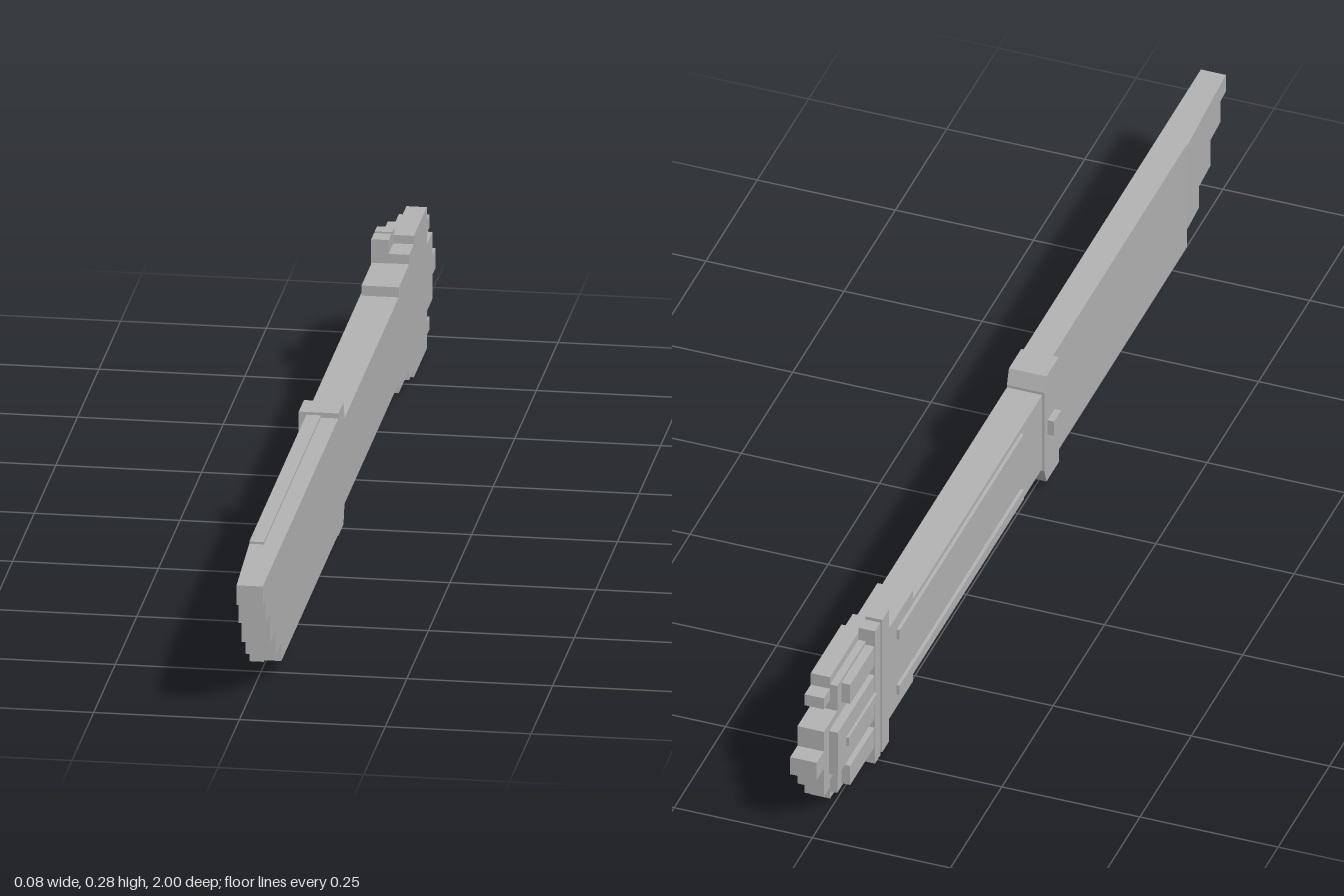
import * as THREE from 'three';

const BACK = 0.04;   // flat rear plane, shared by every main section
const MID = 0.14;    // height of the long axis

export function createModel() {
  const model = new THREE.Group();
  model.name = 'knife';
  const grey = new THREE.MeshStandardMaterial({ color: 0xb4b4b4, flatShading: true });
  grey.name = 'plain grey';

  const add = (name, geometry) => {
    const mesh = new THREE.Mesh(geometry, grey);
    mesh.name = name;
    model.add(mesh);
    return mesh;
  };

  // Box given by its bounds
  const block = (name, x0, x1, y0, y1, z0, z1) => {
    const g = new THREE.BoxGeometry(x1 - x0, y1 - y0, z1 - z0);
    g.translate((x0 + x1) / 2, (y0 + y1) / 2, (z0 + z1) / 2);
    return add(name, g);
  };

  // Outline of [z, y] points extruded across x
  const slab = (points, x0, x1) => {
    const shape = new THREE.Shape(points.map(([z, y]) => new THREE.Vector2(-z, y)));
    const g = new THREE.ExtrudeGeometry(shape, { depth: x1 - x0, bevelEnabled: false });
    g.rotateY(Math.PI / 2);
    g.translate(x0, 0, 0);
    return g;
  };

  // Blade: full-height slab with a slightly raised front layer
  block('bladeBack', 0.01, BACK, 0.033, 0.241, 0.12, 0.785);
  block('bladeFront', -0.015, 0.01, 0.03, 0.245, 0.12, 0.785);

  // Stepped tip, thinning towards the point
  const tip = slab([
    [0.785, 0.241], [0.785, 0.033], [0.785, 0.066], [0.85, 0.066], [0.85, 0.11],
    [0.915, 0.11], [0.915, 0.163], [0.97, 0.163], [0.97, 0.206], [1, 0.206], [1, 0.241],
  ].filter((p, i) => i !== 1), -0.015, BACK);
  const pos = tip.attributes.position;
  for (let i = 0; i < pos.count; i++) {
    if (pos.getX(i) < 0) pos.setX(i, -0.015 + 0.01 * (pos.getZ(i) - 0.785) / 0.215);
  }
  tip.computeVertexNormals();
  add('bladeTip', tip);

  // Guard with chamfered handle side, and its button
  add('guard', slab([
    [0.125, 0.03], [0.125, 0.25], [0.065, 0.25], [0.055, 0.222], [0.055, 0.058], [0.065, 0.03],
  ], -0.028, BACK));
  block('guardButton', -0.04, -0.028, 0.125, 0.155, 0.07, 0.105);

  // Handle, its wider end and two long ribs
  block('handle', -0.024, BACK, 0.063, 0.217, -0.575, 0.055);
  block('handleEnd', -0.024, BACK, 0.045, 0.235, -0.695, -0.575);
  for (const s of [-1, 1]) {
    const y = MID + s * 0.058;
    block('handleRib', -0.03, -0.024, y - 0.01, y + 0.01, -0.655, -0.05);
  }

  // Double collar
  block('collarCore', -0.02, BACK, 0.027, 0.252, -0.75, -0.695);
  block('collarFrontBand', -0.025, 0.005, 0, 0.277, -0.727, -0.694);
  block('collarRearBand', -0.025, 0.005, 0, 0.277, -0.762, -0.735);

  // Pommel base: stepped outline, mirrored about the long axis
  const half = [[-0.75, 0.127], [-0.9, 0.127], [-0.9, 0.103], [-0.93, 0.103],
    [-0.93, 0.08], [-0.9, 0.08], [-0.9, 0.06], [-0.965, 0.06]];
  const outline = [
    ...half.map(([z, d]) => [z, MID + d]),
    ...half.slice().reverse().map(([z, d]) => [z, MID - d]),
  ];
  add('pommel', slab(outline, 0.005, BACK));
  block('pommelTip', -0.008, BACK, 0.123, 0.159, -1, -0.965);

  // Raised lobes on the pommel
  block('pommelCentre', -0.008, 0.005, MID - 0.06, MID + 0.06, -0.965, -0.75);
  block('centrePanel', -0.024, -0.008, MID - 0.045, MID + 0.045, -0.94, -0.755);
  block('centreRib', -0.029, -0.024, MID - 0.009, MID + 0.009, -0.9, -0.762);
  for (const s of [-1, 1]) {
    const y = MID + s * 0.085;
    block('sideLobe', -0.008, 0.005, y - 0.027, y + 0.027, -0.9, -0.755);
    block('sidePanel', -0.024, -0.008, y - 0.02, y + 0.02, -0.88, -0.755);
  }

  return model;
}
